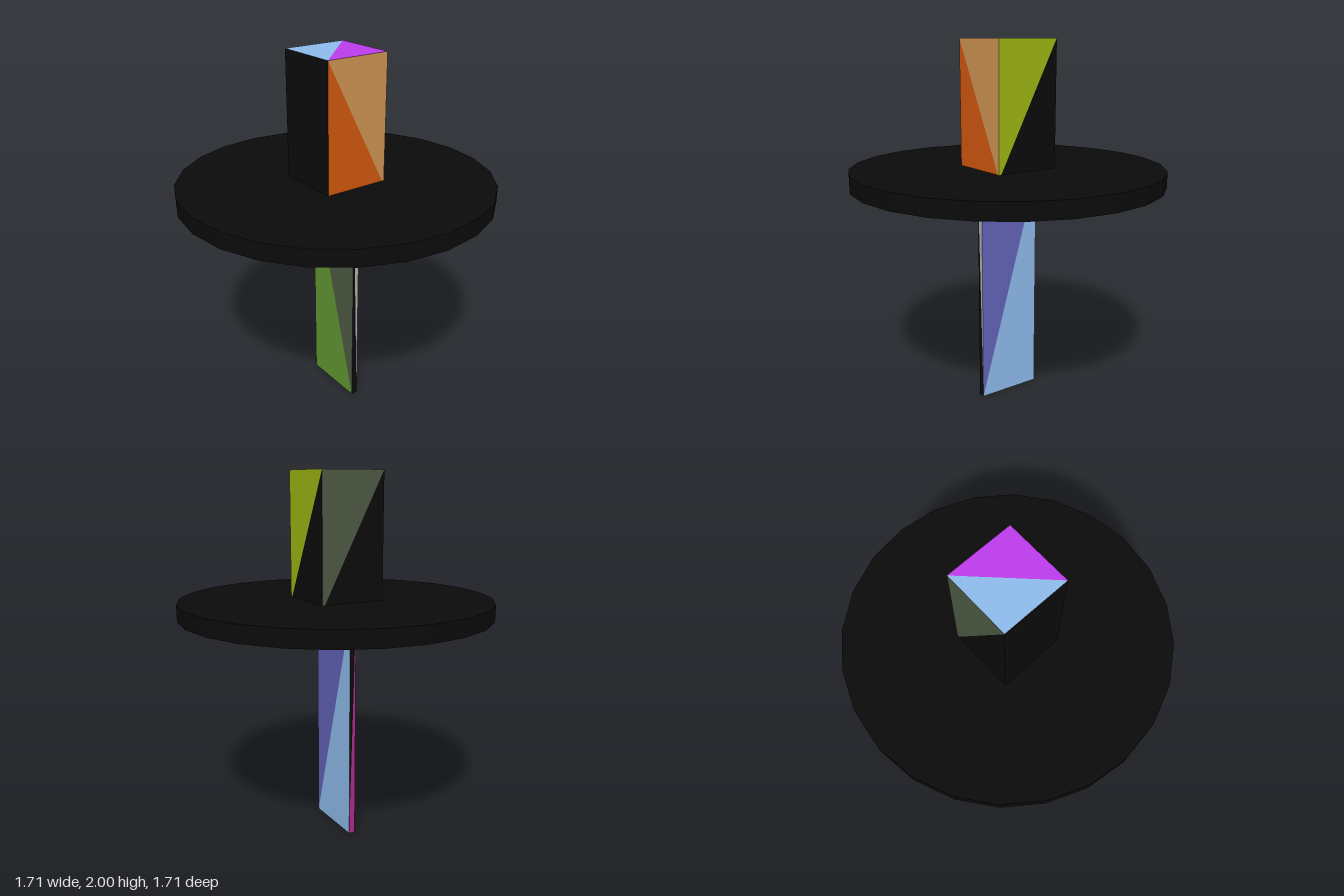
import * as THREE from 'three';

const BLACK = 0x0b0b0b, BLUE = 0x8fbdee, OLIVE = 0x4f5a43, MAGENTA = 0xbe3cec;

const paint = (color) => new THREE.MeshStandardMaterial({ color, flatShading: true });

// Box whose sides are each split into two coloured triangles.
// sides: +x, -x, top, bottom, front, back as [left colour, right colour, falling diagonal?]
function patchBox(name, width, depth, bottom, top, sides) {
  const geometry = new THREE.BoxGeometry(width, top - bottom, depth);
  const index = [];
  const materials = [];
  geometry.clearGroups();
  sides.forEach(([left, right, falling], side) => {
    const corners = falling ? [0, 2, 3, 0, 3, 1] : [0, 2, 1, 2, 3, 1];
    index.push(...corners.map((c) => c + side * 4));
    [left, right].forEach((color, i) => {
      geometry.addGroup(side * 6 + i * 3, 3, materials.length);
      materials.push(paint(color));
    });
  });
  geometry.setIndex(index);
  const mesh = new THREE.Mesh(geometry, materials);
  mesh.name = name;
  mesh.position.y = (bottom + top) / 2;
  return mesh;
}

export function createModel() {
  const model = new THREE.Group();
  model.name = 'patchworkBladeWithDisc';

  // Square block on top
  model.add(patchBox('topBlock', 0.365, 0.365, 1.295, 2, [
    [0x9fb814, BLACK],
    [BLACK, BLACK],
    [BLUE, MAGENTA],
    [BLACK, BLACK],
    [0xd4590f, 0xd29653, true],
    [OLIVE, BLACK],
  ]));

  // Wide 24-sided disc
  const disc = new THREE.Mesh(new THREE.CylinderGeometry(0.855, 0.855, 0.09, 24), paint(BLACK));
  disc.name = 'disc';
  disc.position.y = 1.275;
  model.add(disc);

  // Thin blade below the disc
  model.add(patchBox('blade', 0.036, 0.365, 0, 1.265, [
    [0x6464ba, BLUE],
    [0x639633, OLIVE, true],
    [BLACK, BLACK],
    [BLACK, 0xb02a90],
    [BLACK, 0xb4b4b4, true],
    [BLACK, 0xb02a90],
  ]));

  return model;
}
